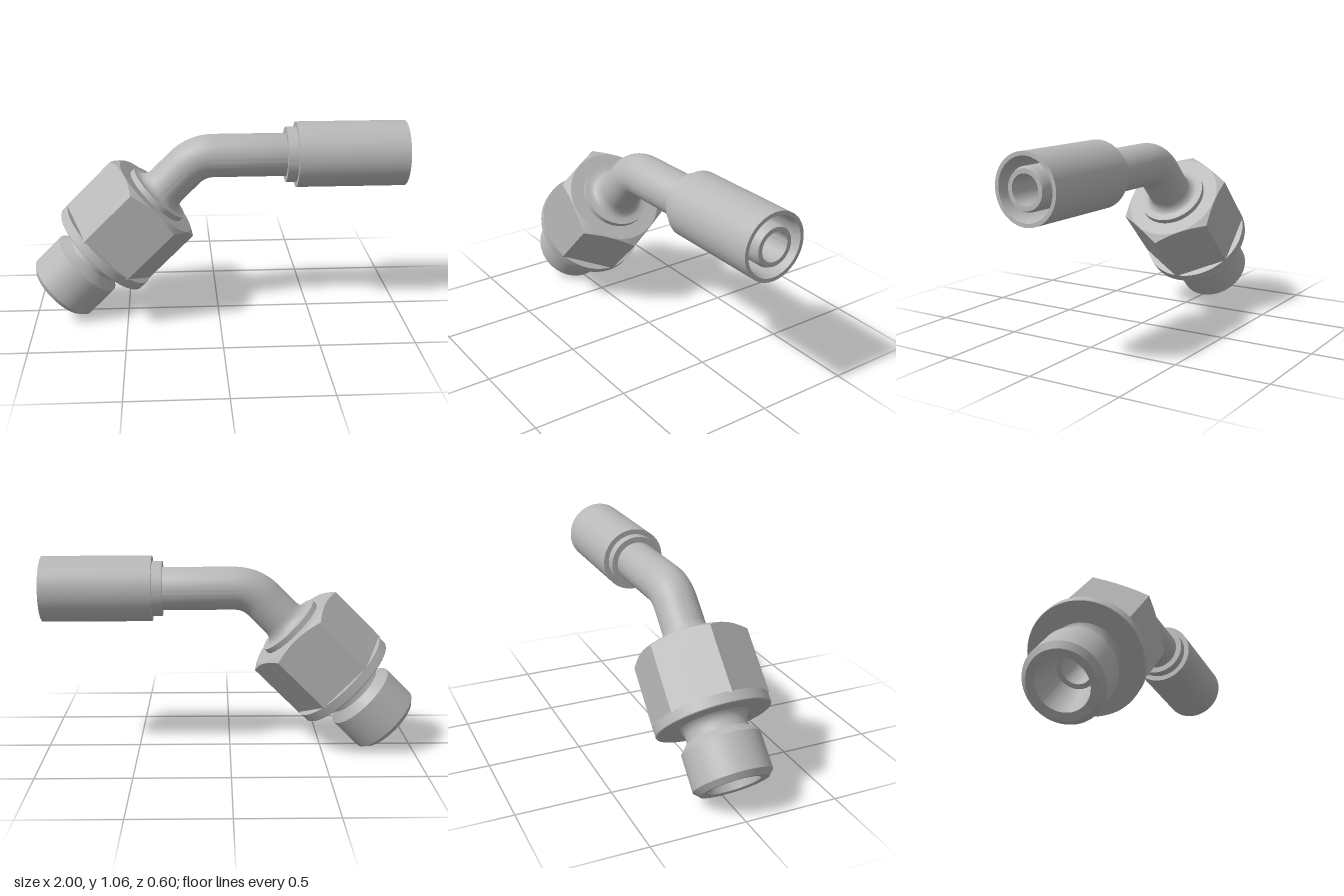
import * as THREE from 'three';
import { toCreasedNormals } from 'three/addons/utils/BufferGeometryUtils.js';

const steel = new THREE.MeshStandardMaterial({ color: 0xb8b8b8, side: THREE.DoubleSide });
steel.name = 'steel';

const SEG = 96;
const AXIS_Y = 0.885;    // height of the straight hose end
const BEND_X = -0.025;   // where the bend meets the straight tube
const BEND_R = 0.217;
const TUBE_R = 0.115;
const BORE_R = 0.075;

// Turned part around +y; each profile point is [radius, distance along axis]
function turned(name, profile) {
  const points = profile.map(([r, s]) => new THREE.Vector2(r, s));
  const mesh = new THREE.Mesh(toCreasedNormals(new THREE.LatheGeometry(points, SEG), 0.5), steel);
  mesh.name = name;
  return mesh;
}

// Hexagonal nut whose upper corners are cut by a shallow cone
function hexNut(flat, bottom, top, holeRadius) {
  const rows = [[1, bottom], [1, top], [flat - 0.003, top], [holeRadius, top]];
  const geo = new THREE.LatheGeometry(rows.map(([r, s]) => new THREE.Vector2(r, s)), SEG);
  const pos = geo.attributes.position;
  for (let i = 0; i < pos.count; i++) {
    const row = i % rows.length;
    if (row > 1) continue;
    const step = Math.floor(i / rows.length);
    const angle = (step / SEG) * Math.PI * 2;
    const fromFlat = ((step + SEG / 12) % (SEG / 6) - SEG / 12) / SEG * Math.PI * 2;
    const r = flat / Math.cos(fromFlat);
    const y = row === 0 ? bottom : top - (r - flat + 0.003) * 0.577;
    pos.setXYZ(i, r * Math.sin(angle), y, r * Math.cos(angle));
  }
  const mesh = new THREE.Mesh(toCreasedNormals(geo, 0.4), steel);
  mesh.name = 'hexNut';
  return mesh;
}

// Eighth-turn elbow surface
function elbow(name, radius) {
  const geo = new THREE.TorusGeometry(BEND_R, radius, 64, 32, Math.PI / 4);
  geo.rotateZ(Math.PI / 2);
  const mesh = new THREE.Mesh(geo, steel);
  mesh.position.set(BEND_X, AXIS_Y - BEND_R, 0);
  mesh.name = name;
  return mesh;
}

export function createModel() {
  const model = new THREE.Group();
  model.name = 'angledHoseFitting';

  // Straight hose end, along +x
  const hoseEnd = new THREE.Group();
  hoseEnd.name = 'hoseEnd';
  hoseEnd.position.y = AXIS_Y;
  hoseEnd.rotation.z = -Math.PI / 2;
  hoseEnd.add(
    turned('straightTube', [
      [TUBE_R, BEND_X], [TUBE_R, 0.4], [0.107, 0.42], [0.107, 0.98], [0.098, 1],
      [BORE_R, 1], [BORE_R, BEND_X],
    ]),
    turned('crimpSleeve', [
      [TUBE_R, 0.36], [0.147, 0.36], [0.147, 0.415], [0.175, 0.415], [0.175, 1],
      [0.155, 1], [0.147, 0.97], [0.147, 0.7], [0.1, 0.7],
    ]),
  );

  // Threaded end, tilted by 45 degrees
  const threadedEnd = new THREE.Group();
  threadedEnd.name = 'threadedEnd';
  threadedEnd.position.set(-0.87, 0.13, 0);
  threadedEnd.rotation.z = -Math.PI / 4;
  threadedEnd.add(
    // threaded plug, undercut neck and flange
    turned('plugAndFlange', [
      [BORE_R, 0.2], [0.1, 0.2], [0.135, 0], [0.177, -0.005], [0.205, 0.023],
      [0.205, 0.215], [0.174, 0.247], [0.162, 0.26], [0.16, 0.285], [0.163, 0.305],
      [0.172, 0.322], [0.188, 0.333], [0.297, 0.333], [0.3, 0.337], [0.3, 0.387], [0.2, 0.387],
    ]),
    hexNut(0.265, 0.38, 0.755, 0.12),
    // raised collar with a fillet running into the tube
    turned('tubeCollar', [
      [0.185, 0.74], [0.185, 0.785], [0.15, 0.785], [0.136, 0.792], [0.124, 0.806],
      [0.117, 0.825], [TUBE_R, 0.845], [TUBE_R, 0.978],
    ]),
    turned('lowerBore', [[BORE_R, 0.978], [BORE_R, 0.2]]),
  );

  model.add(hoseEnd, threadedEnd, elbow('bentTube', TUBE_R), elbow('bentBore', BORE_R));
  return model;
}
